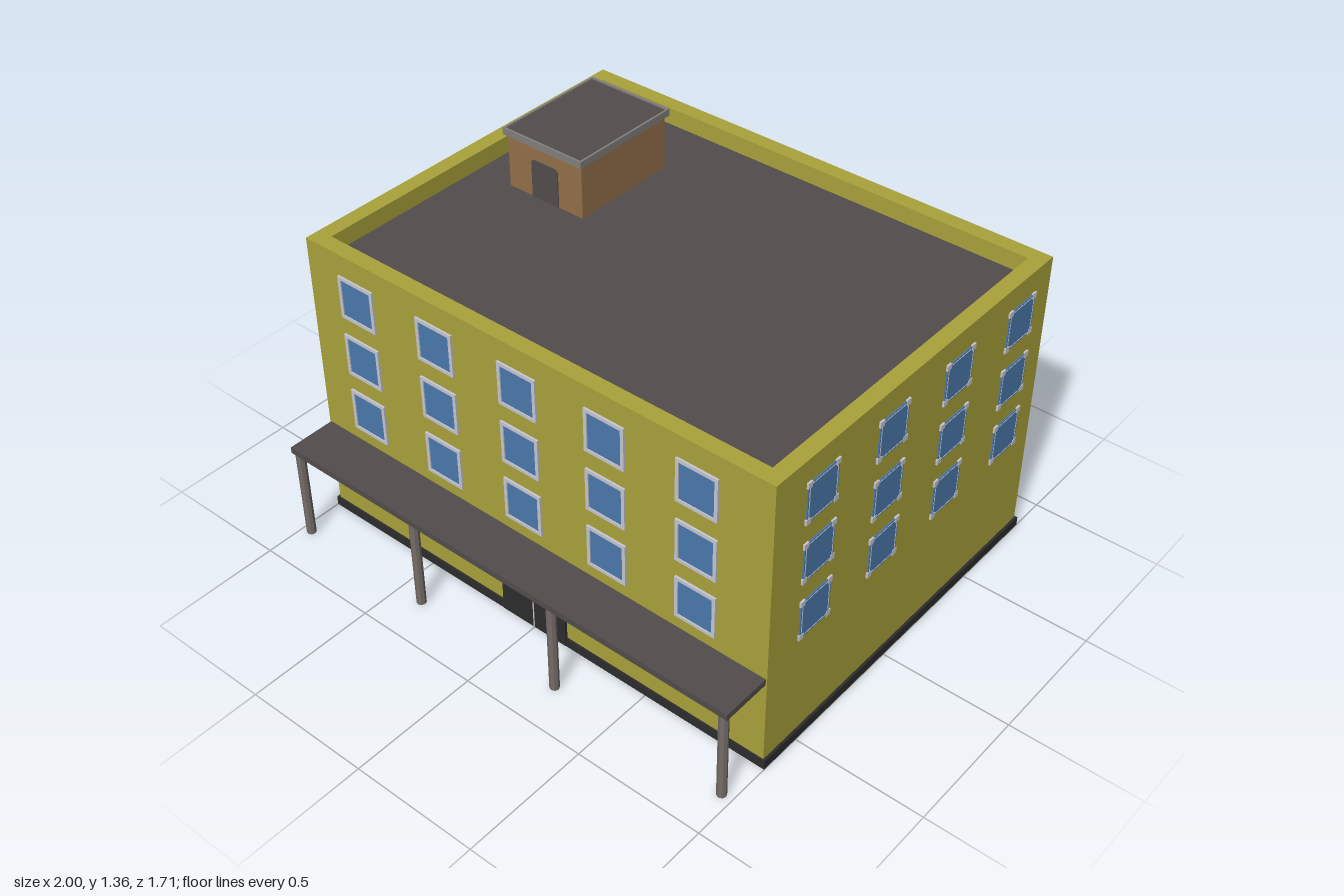
import * as THREE from 'three';

const mat = (name, color, side = THREE.FrontSide) => {
  const m = new THREE.MeshStandardMaterial({ color, side });
  m.name = name;
  return m;
};

export function createModel() {
  const model = new THREE.Group();
  model.name = 'building';
  const wallMat = mat('olive wall', 0xaaa23b, THREE.DoubleSide);
  const roofMat = mat('dark roof', 0x524d4c, THREE.DoubleSide);
  const blackMat = mat('black trim', 0x2c2c2c);
  const brickMat = mat('brown brick', 0x94704a);
  const rimMat = mat('grey rim', 0x827f7c);
  const postMat = mat('post grey', 0x746c67);
  const frameMat = mat('pale frame', 0xc6c7d0);
  const glassMat = mat('blue glass', 0x4a79ad);

  const add = (parent, name, geometry, material, x = 0, y = 0, z = 0) => {
    const mesh = new THREE.Mesh(geometry, material);
    mesh.name = name;
    mesh.position.set(x, y, z);
    parent.add(mesh);
    return mesh;
  };
  const box = (parent, name, w, h, d, material, x, y, z) =>
    add(parent, name, new THREE.BoxGeometry(w, h, d), material, x, y, z);

  // Rectangle with separately rounded top and bottom corners
  const roundRect = (w, h, rTop, rBottom = rTop) => {
    const s = new THREE.Shape(), x = w / 2, y = h / 2;
    s.moveTo(-x + rBottom, -y).lineTo(x - rBottom, -y);
    s.quadraticCurveTo(x, -y, x, -y + rBottom).lineTo(x, y - rTop);
    s.quadraticCurveTo(x, y, x - rTop, y).lineTo(-x + rTop, y);
    s.quadraticCurveTo(-x, y, -x, y - rTop).lineTo(-x, -y + rBottom);
    s.quadraticCurveTo(-x, -y, -x + rBottom, -y);
    return s;
  };
  const plate = (shape, depth) =>
    new THREE.ExtrudeGeometry(shape, { depth, bevelEnabled: false, curveSegments: 4 });
  const rect = (w, h, Type = THREE.Shape) => new Type([
    new THREE.Vector2(-w / 2, -h / 2), new THREE.Vector2(w / 2, -h / 2),
    new THREE.Vector2(w / 2, h / 2), new THREE.Vector2(-w / 2, h / 2)]);
  const frameShape = (w, h, t) => {
    const s = rect(w, h);
    s.holes.push(rect(w - 2 * t, h - 2 * t, THREE.Path));
    return s;
  };
  // Horizontal rectangular ring rising from its own y = 0
  const ring = (w, d, t, height) => plate(frameShape(w, d, t), height).rotateX(-Math.PI / 2);

  // Hollow shell, open at the bottom, with parapet and sunken roof
  const cz = -0.095, frontZ = 0.66, sideX = 0.99;
  add(model, 'walls', ring(1.98, 1.51, 0.003, 1.12), wallMat, 0, 0, cz);
  add(model, 'parapet', ring(1.98, 1.51, 0.06, 0.07), wallMat, 0, 1.12, cz);
  add(model, 'roofDeck', new THREE.PlaneGeometry(1.87, 1.4).rotateX(-Math.PI / 2), roofMat, 0, 1.122, cz);
  add(model, 'plinth', ring(2.0, 1.525, 0.018, 0.037), blackMat, 0, 0, cz);

  // Canopy and its posts
  box(model, 'canopy', 1.97, 0.025, 0.2, roofMat, 0, 0.388, 0.753);
  for (const x of [-0.962, -0.39, 0.243, 0.958]) {
    const geo = new THREE.CylinderGeometry(0.018, 0.018, 0.376, 8).toNonIndexed();
    geo.computeVertexNormals();
    add(model, 'post', geo, postMat, x, 0.188, 0.833);
  }

  // Double entrance door
  const door = new THREE.Group();
  door.name = 'entranceDoor';
  model.add(door);
  add(door, 'doorLeaves', plate(roundRect(0.292, 0.362, 0.018, 0.001), 0.016), blackMat, 0, 0.183, 0.654);
  box(door, 'doorGap', 0.005, 0.355, 0.002, frameMat, 0, 0.183, 0.6705);

  // Windows: each faces +z in its own group
  const frontFrame = plate(frameShape(0.163, 0.17, 0.013), 0.012);
  const frontGlass = plate(roundRect(0.142, 0.15, 0.012), 0.004);
  const sideGlass = plate(roundRect(0.154, 0.156, 0.012), 0.005);
  const sideLine = plate(frameShape(0.144, 0.146, 0.004), 0.002);
  const bracket = plate(rect(0.022, 0.022), 0.009);
  const rows = [0.538, 0.778, 1.02];

  for (const y of rows) {
    for (let i = 0; i < 5; i++) {
      const w = new THREE.Group();
      w.name = 'frontWindow';
      w.position.set(-0.76 + i * 0.366, y, frontZ);
      add(w, 'frame', frontFrame, frameMat, 0, 0, -0.004);
      add(w, 'glass', frontGlass, glassMat);
      model.add(w);
    }
    for (const side of [-1, 1]) {
      for (let i = 0; i < 4; i++) {
        const w = new THREE.Group();
        w.name = side > 0 ? 'leftWindow' : 'rightWindow';
        w.position.set(side * sideX, y, 0.427 - i * 0.3675);
        w.rotation.y = side * Math.PI / 2;
        add(w, 'glass', sideGlass, glassMat);
        add(w, 'frameLine', sideLine, frameMat, 0, 0, 0.004);
        for (const sx of [-1, 1]) {
          for (const sy of [-1, 1]) {
            add(w, 'frameCorner', bracket, frameMat, sx * 0.071, sy * 0.072, -0.002);
          }
        }
        model.add(w);
      }
    }
  }

  // Rooftop hut with rimmed slab and door
  const hut = new THREE.Group();
  hut.name = 'roofHut';
  hut.position.set(-0.597, 0, -0.32);
  model.add(hut);
  box(hut, 'hutWalls', 0.342, 0.218, 0.442, brickMat, 0, 1.229, 0);
  box(hut, 'hutRoof', 0.35, 0.02, 0.455, roofMat, 0, 1.344, 0);
  add(hut, 'hutRoofRim', ring(0.363, 0.472, 0.008, 0.027), rimMat, 0, 1.333, 0);
  add(hut, 'hutDoor', plate(roundRect(0.122, 0.153, 0.015, 0.001), 0.006), roofMat, 0, 1.1975, 0.219);

  return model;
}
